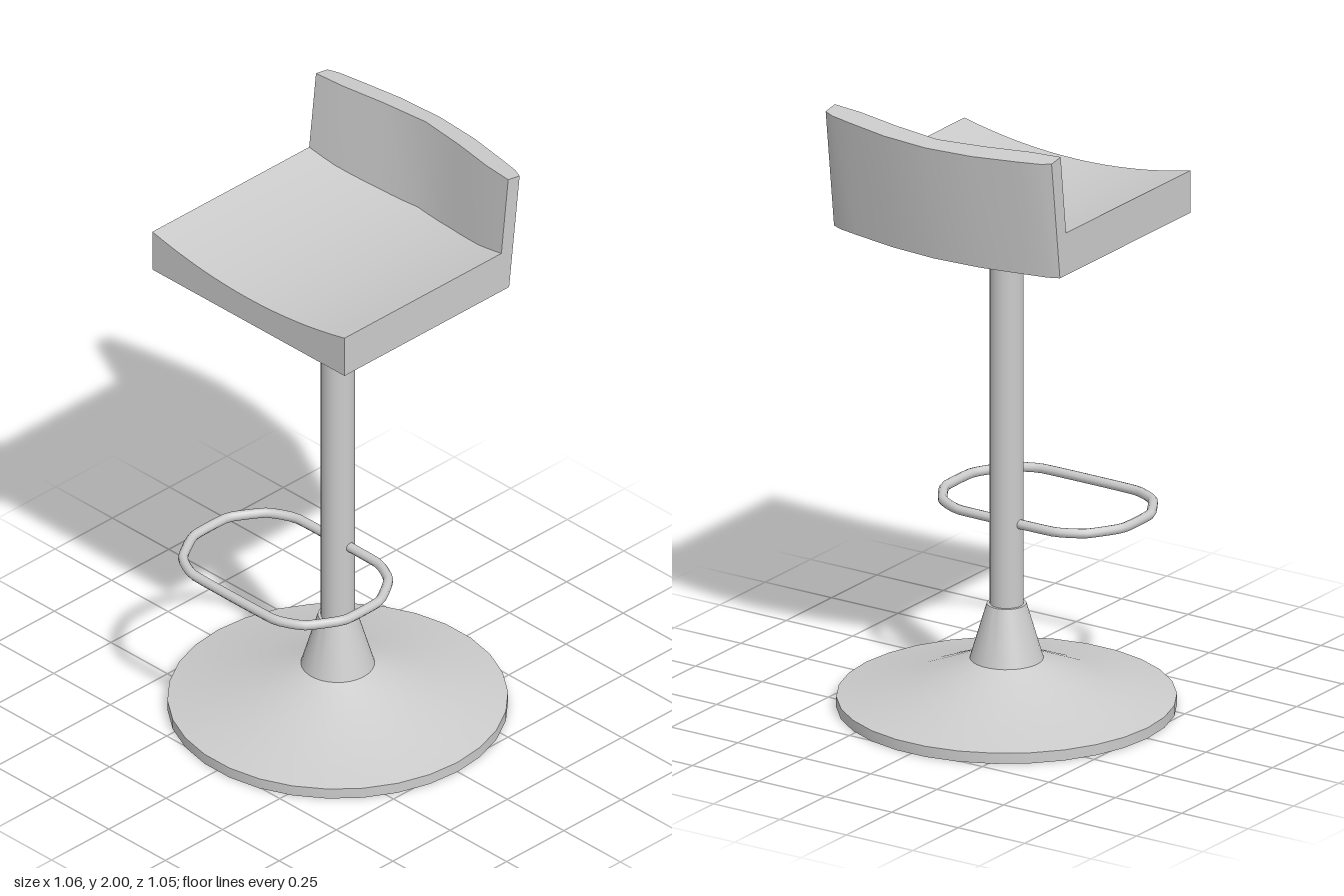
import * as THREE from 'three';
import { toCreasedNormals } from 'three/addons/utils/BufferGeometryUtils.js';

const material = new THREE.MeshStandardMaterial({ color: 0xcccccc });
const SIDES = 30;

// Move every vertex of a geometry by a rule, then rebuild normals with sharp edges kept
function reshape(geometry, rule) {
  const p = geometry.attributes.position;
  const v = new THREE.Vector3();
  for (let i = 0; i < p.count; i++) {
    rule(v.fromBufferAttribute(p, i));
    p.setXYZ(i, v.x, v.y, v.z);
  }
  return toCreasedNormals(geometry, 0.5);
}

// Lathe with a vertex on the x axis
function turned(points) {
  const g = new THREE.LatheGeometry(points.map(([r, y]) => new THREE.Vector2(r, y)), SIDES);
  return toCreasedNormals(g.rotateY(Math.PI / 2), 0.75);
}

export function createModel() {
  const model = new THREE.Group();
  model.name = 'barStool';
  const add = (name, geometry) => {
    const mesh = new THREE.Mesh(geometry, material);
    mesh.name = name;
    model.add(mesh);
  };

  // Flared round base with a flat underside
  add('base', turned([[0, 0], [0.53, 0], [0.53, 0.035], [0.3, 0.082], [0.115, 0.16], [0.062, 0.34], [0, 0.34]]));

  // Column and the collar under the seat
  add('column', new THREE.CylinderGeometry(0.053, 0.053, 1.28, 24).translate(0, 0.95, 0));
  add('collar', new THREE.CylinderGeometry(0.08, 0.053, 0.03, 24).translate(0, 1.585, 0));

  // Footrest: closed loop with chamfered corners, passing through the column
  const half = [[0.175, 0.455], [0.27, 0.41], [0.335, 0.3], [0.335, 0.15], [0.27, 0.045], [0.175, 0]];
  const loop = [...half, ...half.map(([x, z]) => [-x, z]).reverse()];
  const path = new THREE.CatmullRomCurve3(
    loop.map(([x, z]) => new THREE.Vector3(x, 0.611, z)), true, 'catmullrom', 0.2);
  add('footrest', new THREE.TubeGeometry(path, 72, 0.0155, 10, true));

  // Seat: box dished across its width, back edge following the backrest
  const seat = new THREE.BoxGeometry(0.85, 0.14, 0.72, 16, 1, 1);
  add('seat', reshape(seat, (v) => {
    const bow = 1 - (v.x / 0.425) ** 2;
    v.y = v.y > 0 ? 1.74 - 0.05 * bow : 1.6;
    v.z = v.z > 0 ? 0.39 : -0.32 - 0.05 * bow;
  }));

  // Backrest: curved plan extruded upwards and leaned back
  const front = [[0, 0.385], [0.165, 0.364], [0.32, 0.335], [0.425, 0.325]];
  const back = [[0.425, 0.375], [0.39, 0.391], [0.32, 0.406], [0.165, 0.435], [0, 0.447]];
  const right = [...front, ...back];
  const left = right.slice(1, -1).map(([x, z]) => [-x, z]).reverse();
  const plan = new THREE.Shape([...right, ...left].map(([x, z]) => new THREE.Vector2(x, z)));
  const backrest = new THREE.ExtrudeGeometry(plan, { depth: 0.4, bevelEnabled: false });
  backrest.rotateX(-Math.PI / 2);
  add('backrest', reshape(backrest, (v) => {
    if (v.y > 0.2) {
      v.y = 2 + 0.17 * (v.z + 0.325);
    } else {
      v.y = 1.6;
      v.z += 0.046;
    }
  }));

  return model;
}
